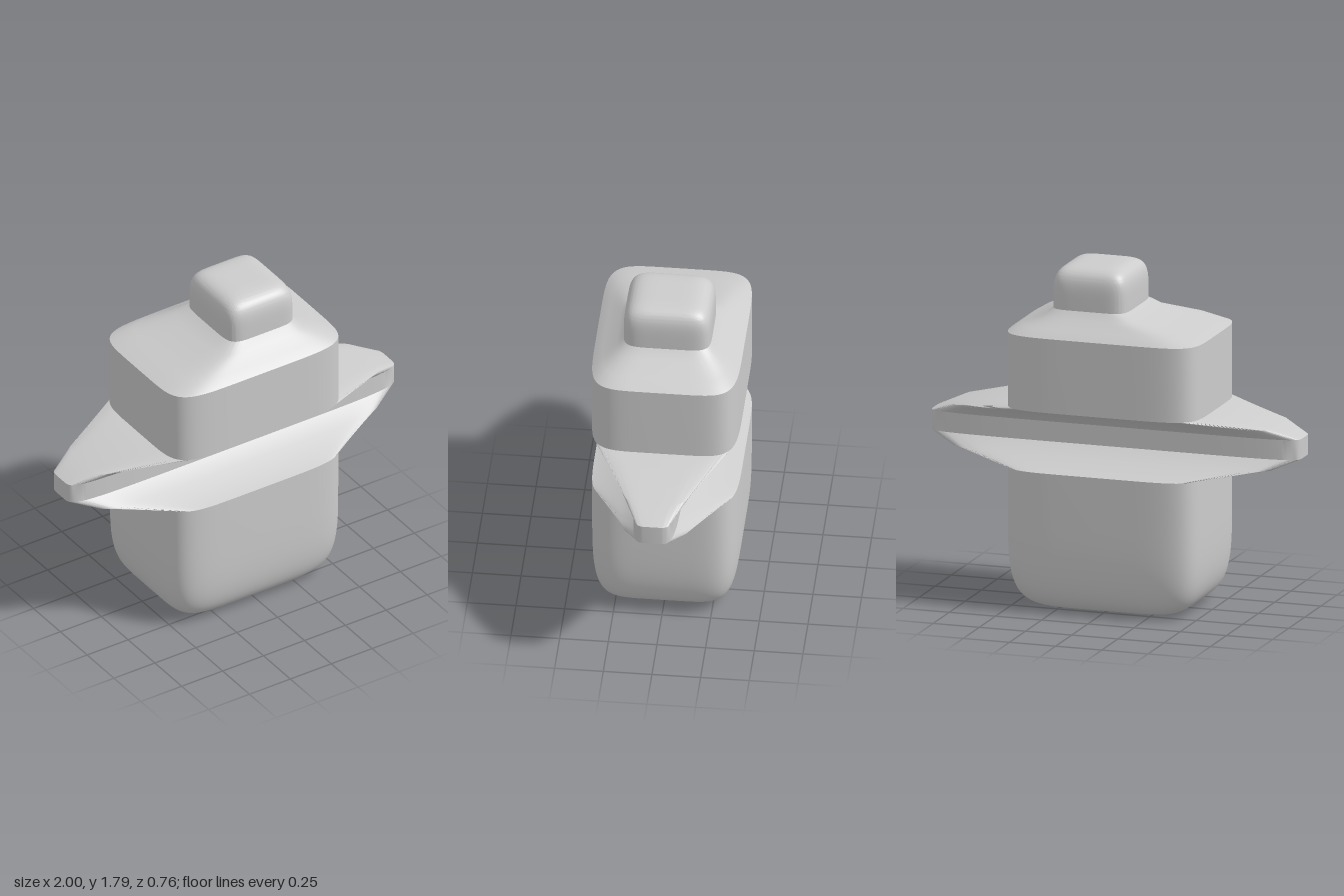
import * as THREE from 'three';
import { mergeVertices, toCreasedNormals } from 'three/addons/utils/BufferGeometryUtils.js';

const SEGMENTS = 96;
const power = (v, n) => Math.sign(v) * Math.pow(Math.abs(v), 2 / n);

// Skins a stack of rounded-rectangle sections, listed from bottom to top:
// [height, half width, half depth, centre x]
function loft(sections, crease = 0.5) {
  const positions = [];
  const index = [];
  sections.forEach(([y, a, b, cx = 0]) => {
    for (let j = 0; j < SEGMENTS; j++) {
      const t = (j / SEGMENTS) * Math.PI * 2;
      positions.push(cx + a * power(Math.cos(t), 6), y, b * power(Math.sin(t), 6));
    }
  });
  for (let i = 0; i < sections.length - 1; i++) {
    for (let j = 0; j < SEGMENTS; j++) {
      const k = (j + 1) % SEGMENTS;
      const p = i * SEGMENTS + j;
      const q = i * SEGMENTS + k;
      if (sections[i + 1][1] > 0) index.push(p, p + SEGMENTS, q + SEGMENTS);
      if (sections[i][1] > 0) index.push(p, q + SEGMENTS, q);
    }
  }
  const geometry = new THREE.BufferGeometry();
  geometry.setAttribute('position', new THREE.Float32BufferAttribute(positions, 3));
  geometry.setIndex(index);
  return toCreasedNormals(mergeVertices(geometry, 1e-5), crease);
}

// Sections of a softly rounded end that closes away from its base
function roundedEnd(baseY, height, a, b, cx, n, steps = 28) {
  const list = [];
  for (let i = 0; i <= steps; i++) {
    const t = (i / steps) * Math.PI / 2;
    const s = i === steps ? 0 : power(Math.cos(t), n);
    list.push([baseY + height * power(Math.sin(t), n), a * s, b * s, cx]);
  }
  return height < 0 ? list.reverse() : list;
}

export function createModel() {
  const group = new THREE.Group();
  const grey = new THREE.MeshStandardMaterial({ color: 0xcccccc });
  grey.name = 'light grey';

  const add = (name, geometry) => {
    const mesh = new THREE.Mesh(geometry, grey);
    mesh.name = name;
    group.add(mesh);
  };

  // Main body with a rounded underside
  add('lowerBody', loft(roundedEnd(0.74, -0.74, 0.525, 0.38, 0, 6)));

  // Collar that spreads into side wings and pinches in front and back
  add('wingedCollar', loft([
    [0.74, 0.525, 0.38],
    [0.79, 0.87, 0.2],
    [0.845, 1.0, 0.12],
    [0.95, 1.0, 0.12],
    [1.005, 0.87, 0.2],
    [1.06, 0.525, 0.38],
  ]));

  add('upperBody', loft([[1.06, 0.525, 0.38], [1.45, 0.525, 0.38]]));

  // Shoulder sloping towards the off-centre cap
  add('shoulder', loft([
    [1.45, 0.525, 0.38, 0],
    [1.49, 0.43, 0.332, 0.03],
    [1.53, 0.265, 0.262, 0.085],
    [1.57, 0.205, 0.226, 0.103],
  ]));

  add('cap', loft(roundedEnd(1.57, 0.22, 0.205, 0.226, 0.103, 4.8)));

  return group;
}
